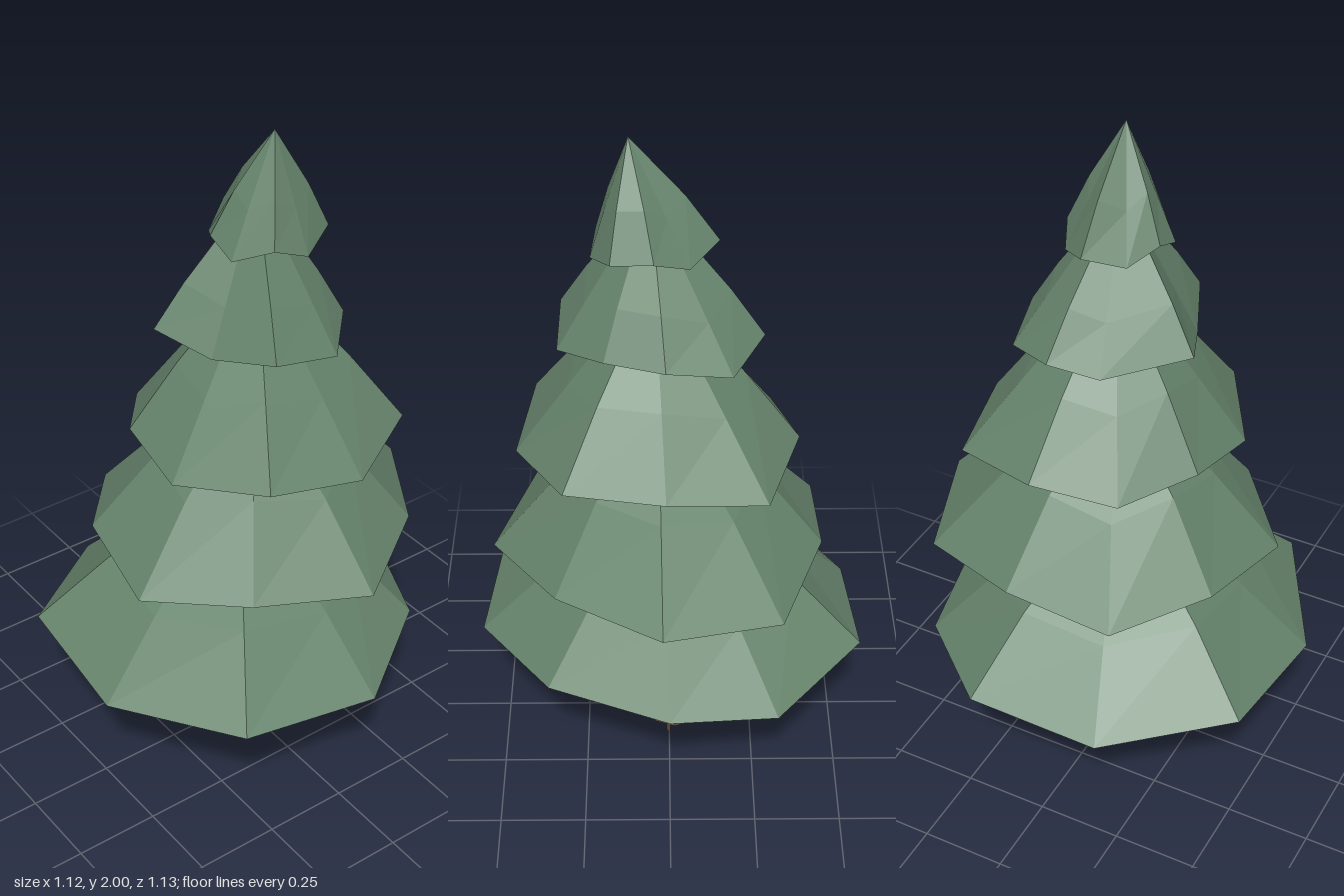
import * as THREE from 'three';

const green = new THREE.MeshStandardMaterial({ color: 0x66846c });
green.name = 'needle green';
const brown = new THREE.MeshStandardMaterial({ color: 0x6f5845 });
brown.name = 'bark brown';

// Separate faces so every facet gets its own flat normal
function faceted(geometry) {
  const g = geometry.index ? geometry.toNonIndexed() : geometry;
  g.computeVertexNormals();
  return g;
}

// Irregular nine-sided rims as [x, z], with the rim height, the middle ring
// (fraction of rim, rise above rim) and the peak [x, y, z]
const tiers = [
  { y: 0.38, mid: [0.64, 0.2], peak: [0, 0.88, 0],
    rim: [[0, -0.53], [0.35, -0.38], [0.56, -0.07], [0.51, 0.35], [0.13, 0.565], [-0.29, 0.535], [-0.54, 0.2], [-0.565, -0.19], [-0.31, -0.47]] },
  { y: 0.715, mid: [0.6, 0.23], peak: [0.03, 1.22, -0.03],
    rim: [[0.02, -0.565], [0.32, -0.38], [0.51, -0.09], [0.39, 0.24], [0.14, 0.45], [-0.19, 0.39], [-0.43, 0.19], [-0.44, -0.13], [-0.315, -0.45]] },
  { y: 1.06, mid: [0.62, 0.2], peak: [0.04, 1.58, -0.03],
    rim: [[0.01, -0.41], [0.29, -0.36], [0.43, -0.1], [0.385, 0.18], [0.14, 0.33], [-0.11, 0.3], [-0.3, 0.15], [-0.365, -0.09], [-0.27, -0.36]] },
  { y: 1.395, mid: [0.7, 0.13], peak: [0.05, 1.82, -0.02],
    rim: [[0.01, -0.28], [0.175, -0.225], [0.305, -0.1], [0.3, 0.1], [0.12, 0.18], [-0.05, 0.25], [-0.21, 0.05], [-0.26, -0.085], [-0.17, -0.24]] },
  { y: 1.665, mid: [0.62, 0.13], peak: [0.105, 2, -0.035],
    rim: [[0.04, -0.18], [0.155, -0.18], [0.21, -0.07], [0.195, 0.03], [0.115, 0.11], [0.02, 0.11], [-0.065, 0.055], [-0.135, -0.045], [-0.055, -0.135]] },
];

// Closed skirt: zigzag rim, steeper middle ring, peak and underside
function tierGeometry({ y, mid, peak, rim }) {
  const n = rim.length;
  const [px, py, pz] = peak;
  const low = rim.map(([x, z], i) => [x, y + (i % 2 || i === 0 ? 0.038 : 0), z]);
  const ring = low.map(([x, ly, z]) => [px + (x - px) * mid[0], ly + mid[1], pz + (z - pz) * mid[0]]);
  const base = [px, y + 0.02, pz];
  const points = [];
  for (let i = 0; i < n; i++) {
    const j = (i + 1) % n;
    points.push(low[i], ring[i], low[j], ring[i], ring[j], low[j]);
    points.push(ring[i], peak, ring[j]);
    points.push(base, low[i], low[j]);
  }
  const g = new THREE.BufferGeometry();
  g.setAttribute('position', new THREE.Float32BufferAttribute(points.flat(), 3));
  return faceted(g);
}

// Tapered round bar from point a to point b
function taper(a, b, ra, rb, sides) {
  const from = new THREE.Vector3(...a);
  const dir = new THREE.Vector3(...b).sub(from);
  const g = new THREE.CylinderGeometry(rb, ra, dir.length(), sides);
  g.translate(0, dir.length() / 2, 0);
  g.applyQuaternion(new THREE.Quaternion().setFromUnitVectors(new THREE.Vector3(0, 1, 0), dir.normalize()));
  g.translate(...a);
  return faceted(g);
}

export function createModel() {
  const tree = new THREE.Group();
  tree.name = 'pineTree';
  const add = (name, geometry, material) => {
    const mesh = new THREE.Mesh(geometry, material);
    mesh.name = name;
    tree.add(mesh);
  };

  // Foliage
  tiers.forEach((t, i) => add(`foliageTier${i + 1}`, tierGeometry(t), green));

  // Slightly leaning trunk
  add('trunk', taper([-0.018, 0.004, -0.02], [0, 0.6, -0.035], 0.088, 0.066, 8), brown);

  // Bare branches drooping below the lowest tier
  const cx = -0.005, cz = -0.03;
  for (let i = 0; i < 7; i++) {
    const a = THREE.MathUtils.degToRad(14 + i * 360 / 7);
    const at = (r, y) => [cx + Math.cos(a) * r, y, cz + Math.sin(a) * r];
    add(`branch${i + 1}`, taper(at(0.04, 0.385), at(0.455, 0.348), 0.02, 0.005, 5), brown);
  }
  return tree;
}
